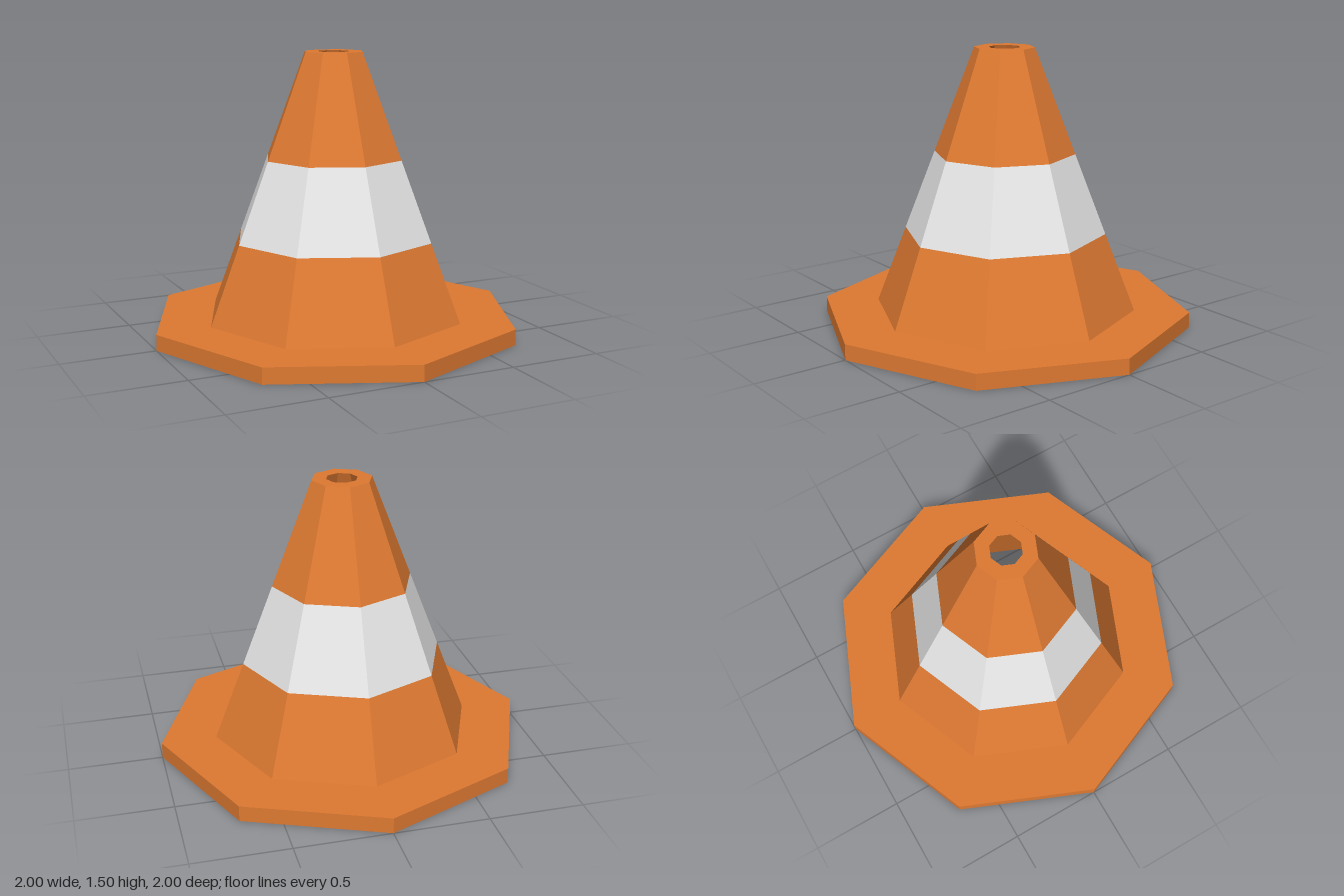
import * as THREE from 'three';

const SIDES = 8;

// Faceted ring swept from a [radius, height] profile; outer walls run upwards
function facetedRing(name, material, profile) {
  const points = profile.map(([r, y]) => new THREE.Vector2(r, y));
  const geometry = new THREE.LatheGeometry(points, SIDES).toNonIndexed();
  geometry.computeVertexNormals(); // one normal per face
  const mesh = new THREE.Mesh(geometry, material);
  mesh.name = name;
  return mesh;
}

export function createModel() {
  const orange = new THREE.MeshStandardMaterial({ color: 0xdf7a32 });
  orange.name = 'orange';
  const white = new THREE.MeshStandardMaterial({ color: 0xe6e6e6 });
  white.name = 'white';

  // Heights of the outer wall and its straight taper
  const baseTop = 0.085, bandLow = 0.505, bandHigh = 0.935, top = 1.495;
  const wall = (y) => [THREE.MathUtils.mapLinear(y, baseTop, top, 0.705, 0.16), y];
  const innerTop = [0.083, top], innerBottom = [0.66, 0];

  const model = new THREE.Group();
  model.name = 'trafficCone';
  model.add(
    // Flat octagonal foot with an open underside
    facetedRing('base', orange, [innerBottom, [1, 0], [1, baseTop], wall(baseTop)]),
    // Outer wall in three bands
    facetedRing('lowerCone', orange, [wall(baseTop), wall(bandLow)]),
    facetedRing('reflectiveBand', white, [wall(bandLow), wall(bandHigh)]),
    facetedRing('upperCone', orange, [wall(bandHigh), wall(top)]),
    // Rim around the hole, and the hollow inside
    facetedRing('topRim', orange, [wall(top), innerTop]),
    facetedRing('innerWall', orange, [innerTop, innerBottom])
  );
  return model;
}
